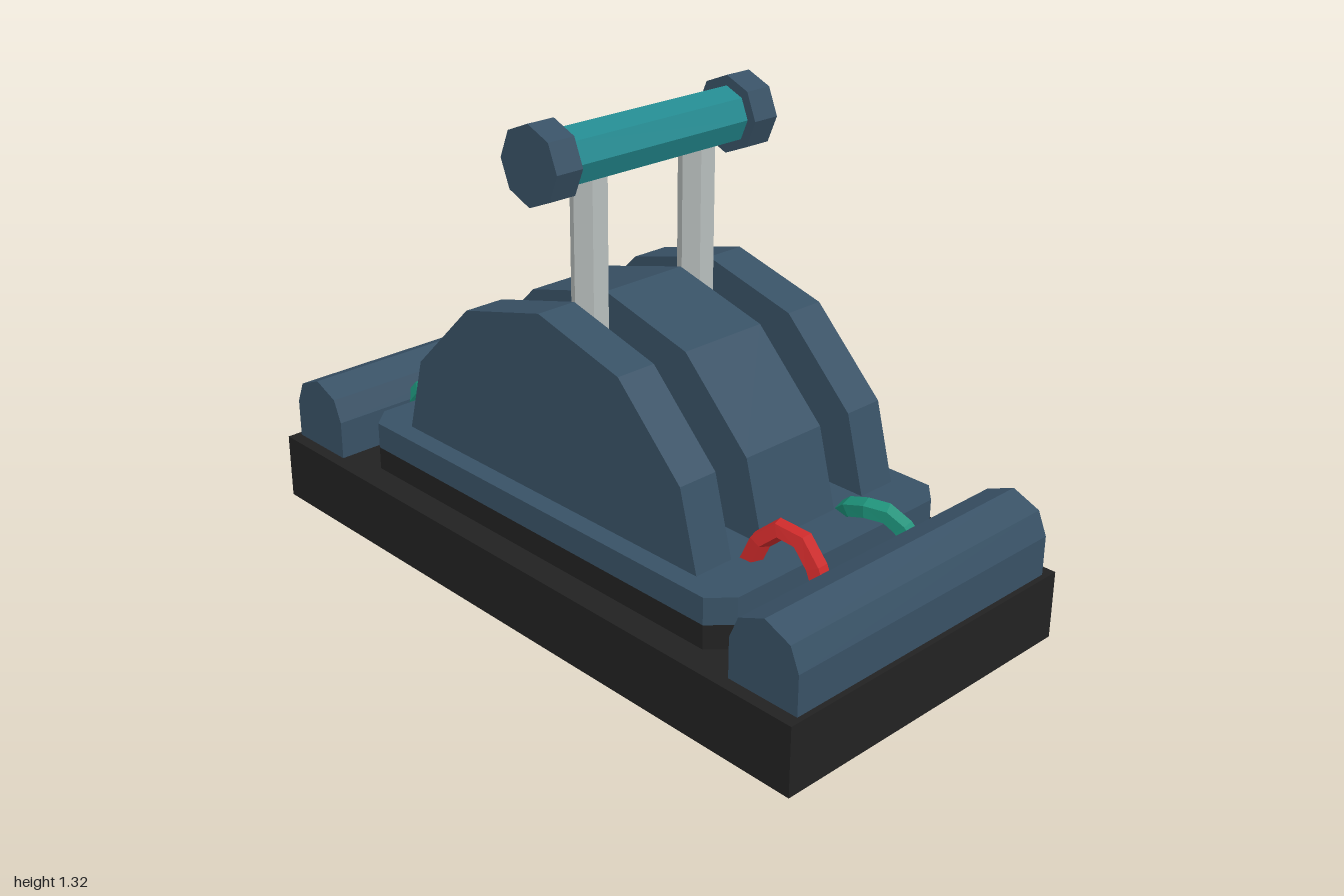
import * as THREE from 'three';

const material = (name, color) => {
  const m = new THREE.MeshStandardMaterial({ color });
  m.name = name;
  return m;
};

// Give every face its own normal for the low-poly look
function faceted(geometry) {
  const g = geometry.index ? geometry.toNonIndexed() : geometry;
  g.computeVertexNormals();
  return g;
}

// Extrude a mirrored (z, y) half profile along x between x0 and x1
function alongX(half, x0, x1) {
  const mirrored = half.filter(([z]) => z > 0).reverse().map(([z, y]) => [-z, y]);
  const points = [...half, ...mirrored].map(([z, y]) => new THREE.Vector2(z, y));
  const g = new THREE.ExtrudeGeometry(new THREE.Shape(points), { depth: x1 - x0, bevelEnabled: false });
  return g.rotateY(Math.PI / 2).translate(x0, 0, 0);
}

// Rectangular slab with cut corners
function cutSlab(hx, hz, cx, cz, y0, y1) {
  const p = [[hx, cz - hz], [hx, hz - cz], [hx - cx, hz], [cx - hx, hz],
    [-hx, hz - cz], [-hx, cz - hz], [cx - hx, -hz], [hx - cx, -hz]];
  const shape = new THREE.Shape(p.map(([x, z]) => new THREE.Vector2(x, z)));
  const g = new THREE.ExtrudeGeometry(shape, { depth: y1 - y0, bevelEnabled: false });
  return g.rotateX(-Math.PI / 2).translate(0, y0, 0);
}

export function createModel() {
  const group = new THREE.Group();
  const black = material('black', 0x222222);
  const blue = material('slate blue', 0x385165);
  const teal = material('teal', 0x23898f);
  const grey = material('light grey', 0xb8bebd);
  const red = material('red', 0xcb2a2a);
  const green = material('green', 0x1c9078);

  const add = (name, geometry, mat) => {
    const mesh = new THREE.Mesh(faceted(geometry), mat);
    mesh.name = name;
    group.add(mesh);
    return mesh;
  };

  // Base and stepped deck
  add('base', new THREE.BoxGeometry(0.985, 0.19, 2).translate(0, 0.095, 0), black);
  add('deckFoot', cutSlab(0.415, 0.7, 0.06, 0.055, 0.19, 0.256), black);
  add('deck', cutSlab(0.415, 0.7, 0.06, 0.055, 0.256, 0.33), blue);

  // Rounded bars at both ends
  const bar = [[0.107, 0.19], [0.107, 0.3], [0.08, 0.363], [0, 0.396]];
  for (const s of [1, -1]) {
    add(s > 0 ? 'frontBar' : 'backBar', alongX(bar, -0.457, 0.457).translate(0, 0, s * 0.878), blue);
  }

  // Three arched guides with lever slots between them
  const arch = [[0.565, 0.33], [0.507, 0.545], [0.292, 0.758], [0, 0.835]];
  add('rightGuide', alongX(arch, -0.358, -0.24), blue);
  add('middleGuide', alongX(arch, -0.133, 0.133), blue);
  add('leftGuide', alongX(arch, 0.24, 0.358), blue);

  // Six-sided lever posts and octagonal caps
  for (const s of [1, -1]) {
    const side = s > 0 ? 'left' : 'right';
    const post = new THREE.CylinderGeometry(0.05, 0.05, 0.86, 6).rotateY(Math.PI / 6);
    add(side + 'Post', post.translate(s * 0.187, 0.76, 0), grey);
    const cap = new THREE.CylinderGeometry(0.105, 0.105, 0.082, 8).rotateZ(Math.PI / 2);
    add(side + 'Cap', cap.translate(s * 0.336, 1.219, 0), blue);
  }
  add('handle', new THREE.CylinderGeometry(0.078, 0.078, 0.6, 8).rotateZ(Math.PI / 2).translate(0, 1.218, 0), teal);

  // Cables from deck to bars, repeated half a turn around
  const cables = [
    ['redCable', red, [[-0.195, 0.32, 0.585], [-0.182, 0.405, 0.625], [-0.165, 0.428, 0.68], [-0.16, 0.4, 0.74], [-0.157, 0.3, 0.79]]],
    ['greenCable', green, [[0.163, 0.32, 0.575], [0.145, 0.355, 0.62], [0.15, 0.366, 0.67], [0.175, 0.355, 0.725], [0.19, 0.295, 0.78]]],
  ];
  for (const [name, mat, points] of cables) {
    const path = new THREE.CatmullRomCurve3(points.map((p) => new THREE.Vector3(...p)));
    for (const turn of [0, Math.PI]) {
      const cable = add((turn ? 'back ' : 'front ') + name, new THREE.TubeGeometry(path, 5, 0.028, 5), mat);
      cable.rotation.y = turn;
    }
  }
  return group;
}
